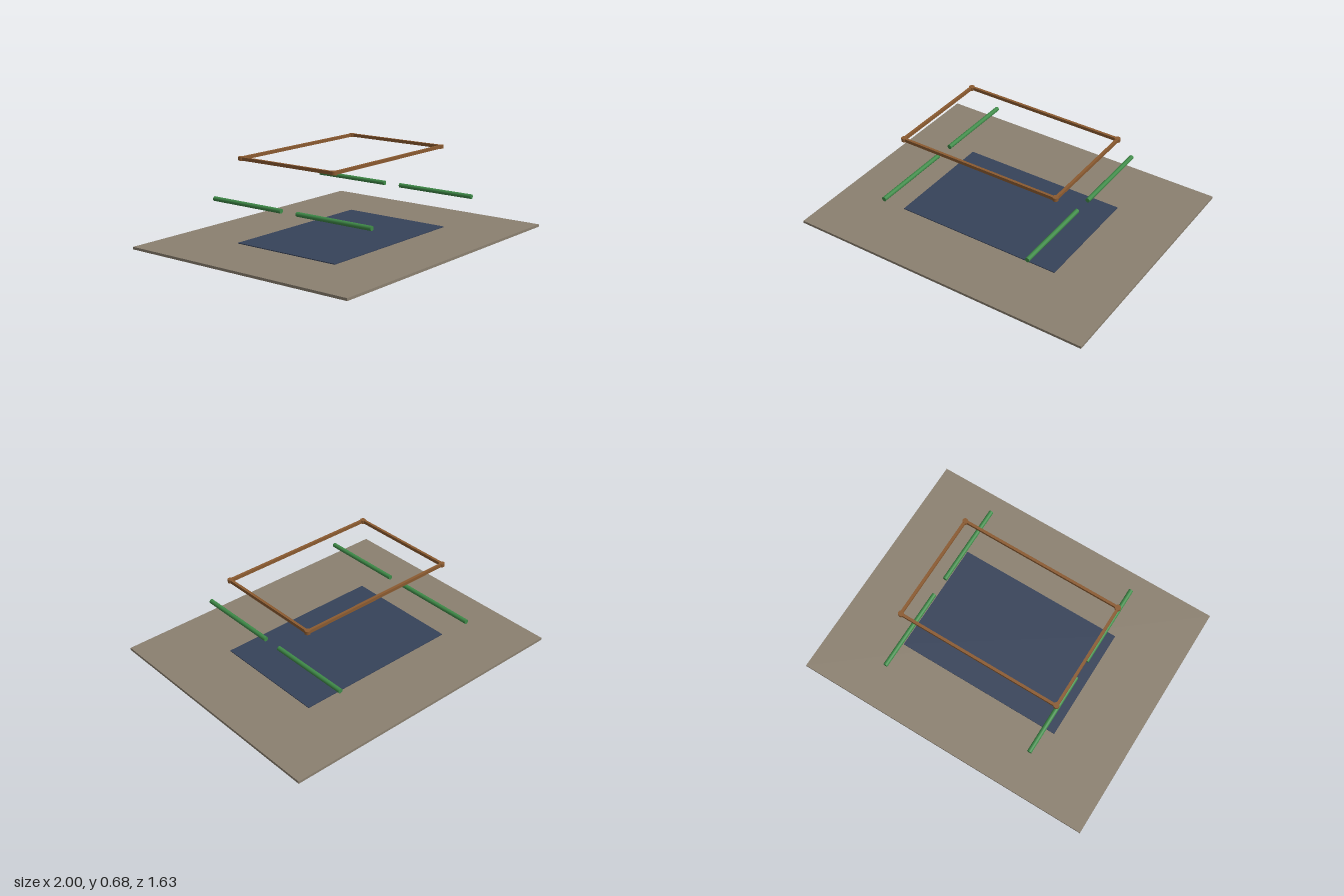
import * as THREE from 'three';

const mat = (color) => new THREE.MeshStandardMaterial({ color });

export function createModel() {
  const model = new THREE.Group();
  const plateMat = mat(0x8b8070), screenMat = mat(0x364259), brass = mat(0xa67f22);
  const wood = mat(0x8a5a30), green = mat(0x3f8a48), lower = mat(0x98999d), upper = mat(0x858990);

  const add = (name, geometry, material, x, y, z) => {
    const mesh = new THREE.Mesh(geometry, material);
    mesh.name = name;
    mesh.position.set(x, y, z);
    model.add(mesh);
    return mesh;
  };
  const box = (name, material, w, h, d, x, y, z) =>
    add(name, new THREE.BoxGeometry(w, h, d), material, x, y, z);

  // rounded rectangle outline, half sizes hx and hz
  const outline = (hx, hz, r, Type = THREE.Shape) => {
    const s = new Type();
    s.absarc(hx - r, hz - r, r, 0, Math.PI / 2);
    s.absarc(r - hx, hz - r, r, Math.PI / 2, Math.PI);
    s.absarc(r - hx, r - hz, r, Math.PI, Math.PI * 1.5);
    s.absarc(hx - r, r - hz, r, Math.PI * 1.5, Math.PI * 2);
    s.closePath();
    return s;
  };
  const slab = (name, shape, material, y0, y1) => {
    const g = new THREE.ExtrudeGeometry(shape, { depth: y1 - y0, bevelEnabled: false, curveSegments: 8 });
    g.rotateX(-Math.PI / 2);
    return add(name, g, material, 0, y0, 0);
  };

  // table plate and the panel lying on it
  box('plate', plateMat, 2, 0.016, 1.63, 0, 0.14, 0);
  box('panel', screenMat, 1.11, 0.008, 0.75, 0, 0.149, 0);

  // stepped tray under the plate
  slab('trayBase', outline(0.59, 0.405, 0.06), lower, 0, 0.065);
  slab('trayRim', outline(0.575, 0.39, 0.05), upper, 0.065, 0.112);

  // mounting frame around the tray top
  const frame = outline(0.598, 0.413, 0.04);
  frame.holes.push(outline(0.55, 0.365, 0.02, THREE.Path));
  slab('mountFrame', frame, brass, 0.11, 0.132);

  for (const sx of [-1, 1]) {
    for (const sz of [-1, 1]) {
      // pair of clamp tabs at each corner
      box('clampTabFront', brass, 0.1, 0.13, 0.03, sx * 0.51, 0.067, sz * 0.4);
      box('clampTabSide', brass, 0.03, 0.13, 0.1, sx * 0.585, 0.067, sz * 0.33);

      // floating rails
      const rail = new THREE.CylinderGeometry(0.0145, 0.0145, 0.545, 20).rotateX(Math.PI / 2);
      add('rail', rail, green, sx * 0.512, 0.387, sz * 0.333);

      // corner joints of the upper frame
      add('frameJoint', new THREE.CylinderGeometry(0.018, 0.018, 0.022, 16), wood, sx * 0.535, 0.671, sz * 0.353);
    }
    // bars of the upper frame
    box('frameSideBar', wood, 0.017, 0.02, 0.706, sx * 0.537, 0.671, 0);
    box('frameLongBar', wood, 1.07, 0.02, 0.017, 0, 0.671, sx * 0.355);
  }
  return model;
}
